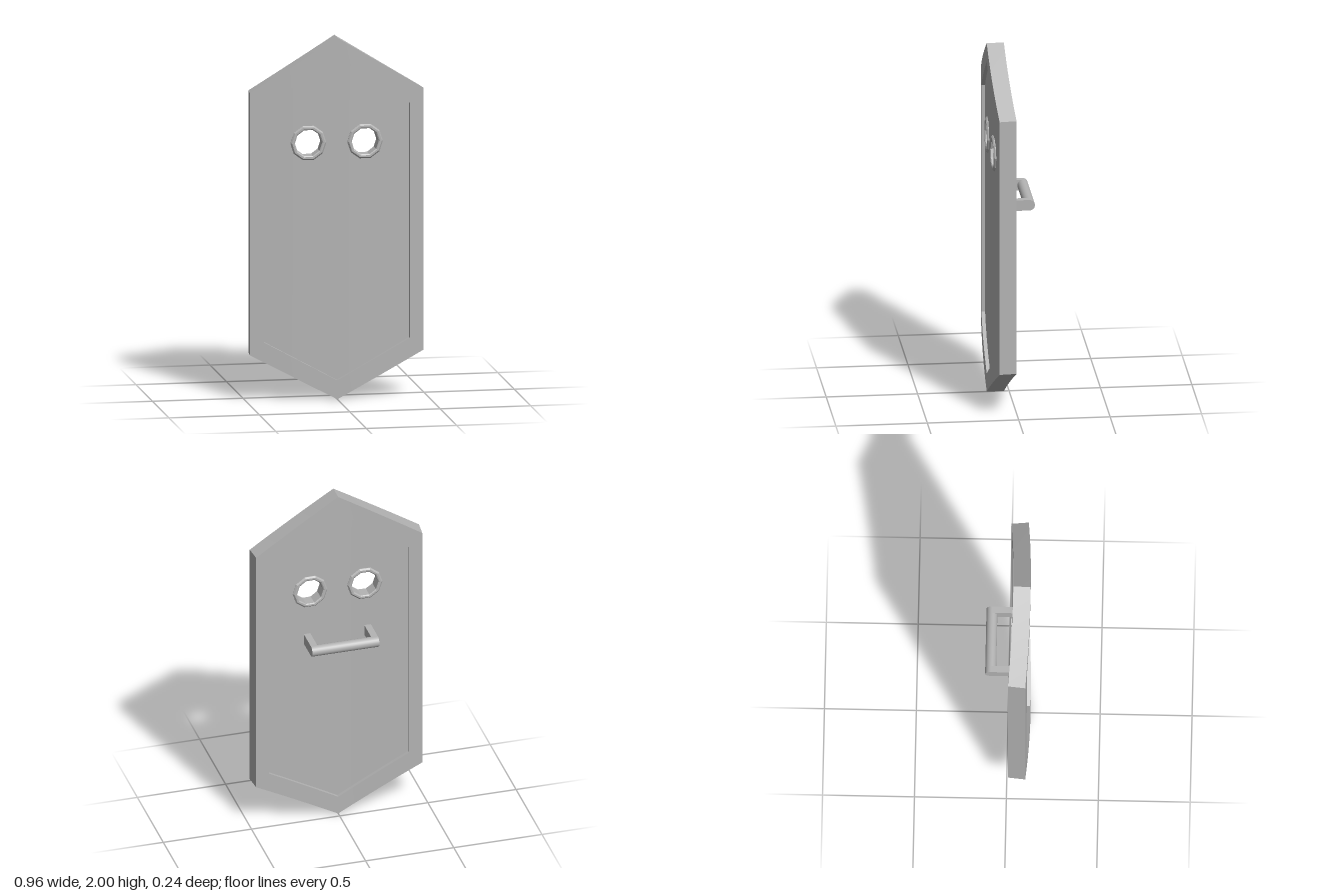
import * as THREE from 'three';
import { toCreasedNormals } from 'three/addons/utils/BufferGeometryUtils.js';

const steel = new THREE.MeshStandardMaterial({ color: 0xb4b4b4 });
steel.name = 'steelGrey';

const EYE_X = 0.156, EYE_Y = 1.42, HOLE_R = 0.087, SIDES = 10;

// Bends a flat point (x, y, depth behind the front face) onto the curved shield
const bend = (x, y, d) => [x * (1 - 0.2 * d), y, 0.122 - d - 0.085 * x * x];

function quadGeometry(quads) {
  const pos = [];
  for (const [a, b, c, d] of quads) pos.push(...a, ...b, ...c, ...a, ...c, ...d);
  const g = new THREE.BufferGeometry();
  g.setAttribute('position', new THREE.Float32BufferAttribute(pos, 3));
  return toCreasedNormals(g, 0.25);
}

// Raised hexagonal border: a rectangular section swept round the outline
function frameGeometry() {
  const outer = [[0.48, 0.255], [0.48, 1.705], [0, 2], [-0.48, 1.705], [-0.48, 0.255], [0, 0]];
  const inner = [[0.403, 0.325], [0.403, 1.625], [0, 1.895], [-0.403, 1.625], [-0.403, 0.325], [0, 0.105]];
  const sections = [];
  for (let i = 0; i < 6; i++) {
    const j = (i + 1) % 6;
    const steps = i % 3 === 0 ? 1 : 6;
    for (let s = 0; s < steps; s++) {
      const at = (p) => [0, 1].map((k) => THREE.MathUtils.lerp(p[i][k], p[j][k], s / steps));
      const o = at(outer), n = at(inner);
      sections.push([bend(...o, 0), bend(...o, 0.094), bend(...n, 0.094), bend(...n, 0)]);
    }
  }
  const quads = [];
  sections.forEach((p, i) => {
    const q = sections[(i + 1) % sections.length];
    for (let k = 0; k < 4; k++) {
      const m = (k + 1) % 4;
      quads.push([p[k], p[m], q[m], q[k]]);
    }
  });
  return quadGeometry(quads);
}

// Recessed panel in vertical strips, split above and below the eye holes
function panelGeometry() {
  const half = [0];
  for (let k = SIDES / 2; k >= 0; k--) half.push(EYE_X + HOLE_R * Math.cos((k * 2 * Math.PI) / SIDES));
  half.push(0.32, 0.403);
  const xs = [...half.slice(1).reverse().map((x) => -x), ...half];
  const top = (x) => 1.895 - (0.27 * Math.abs(x)) / 0.403;
  const bottom = (x) => 0.105 + (0.22 * Math.abs(x)) / 0.403;
  const holeHalf = (x) => Math.sqrt(Math.max(0, HOLE_R ** 2 - (Math.abs(x) - EYE_X) ** 2));
  const quads = [];
  const strip = (x0, x1, low, high) => {
    const corners = [[x0, low(x0)], [x1, low(x1)], [x1, high(x1)], [x0, high(x0)]];
    quads.push(corners.map((c) => bend(...c, 0.02)));
    quads.push(corners.map((c) => bend(...c, 0.074)).reverse());
  };
  for (let i = 0; i < xs.length - 1; i++) {
    const x0 = xs[i], x1 = xs[i + 1];
    if (Math.abs(Math.abs((x0 + x1) / 2) - EYE_X) < HOLE_R) {
      strip(x0, x1, bottom, (x) => EYE_Y - holeHalf(x));
      strip(x0, x1, (x) => EYE_Y + holeHalf(x), top);
    } else {
      strip(x0, x1, bottom, top);
    }
  }
  return quadGeometry(quads);
}

// Ten-sided eyelet with bevelled rims on both faces
function eyeletGeometry() {
  const h = 0.038;
  const profile = [[0.075, h - 0.004], [0.075, 0.004 - h], [0.081, -h], [0.091, -h], [0.099, 0.008 - h],
    [0.099, h - 0.008], [0.091, h], [0.081, h], [0.075, h - 0.004]]
    .map(([r, y]) => new THREE.Vector2(r, y));
  const g = new THREE.LatheGeometry(profile, SIDES, Math.PI / 2);
  g.rotateX(Math.PI / 2);
  return toCreasedNormals(g, 0.3);
}

export function createModel() {
  const model = new THREE.Group();
  model.name = 'shield';
  const add = (name, geometry, parent = model) => {
    const mesh = new THREE.Mesh(geometry, steel);
    mesh.name = name;
    parent.add(mesh);
    return mesh;
  };

  add('frame', frameGeometry());
  add('panel', panelGeometry());

  const eyelet = eyeletGeometry();
  for (const side of [1, -1]) {
    const ring = add(side > 0 ? 'leftEyelet' : 'rightEyelet', eyelet);
    ring.position.set(side * EYE_X, EYE_Y, 0.073);
    ring.rotation.y = side * 0.026;
  }

  // Grip on the back: a round bar on two square posts
  const handle = new THREE.Group();
  handle.name = 'handle';
  handle.position.y = 1.125;
  model.add(handle);
  const bar = add('gripBar', new THREE.CylinderGeometry(0.03, 0.03, 0.38, 24), handle);
  bar.rotation.z = Math.PI / 2;
  bar.position.z = -0.092;
  for (const side of [1, -1]) {
    const post = add(side > 0 ? 'leftPost' : 'rightPost', new THREE.BoxGeometry(0.037, 0.06, 0.15), handle);
    post.position.set(side * 0.1715, 0, -0.017);
  }
  return model;
}
